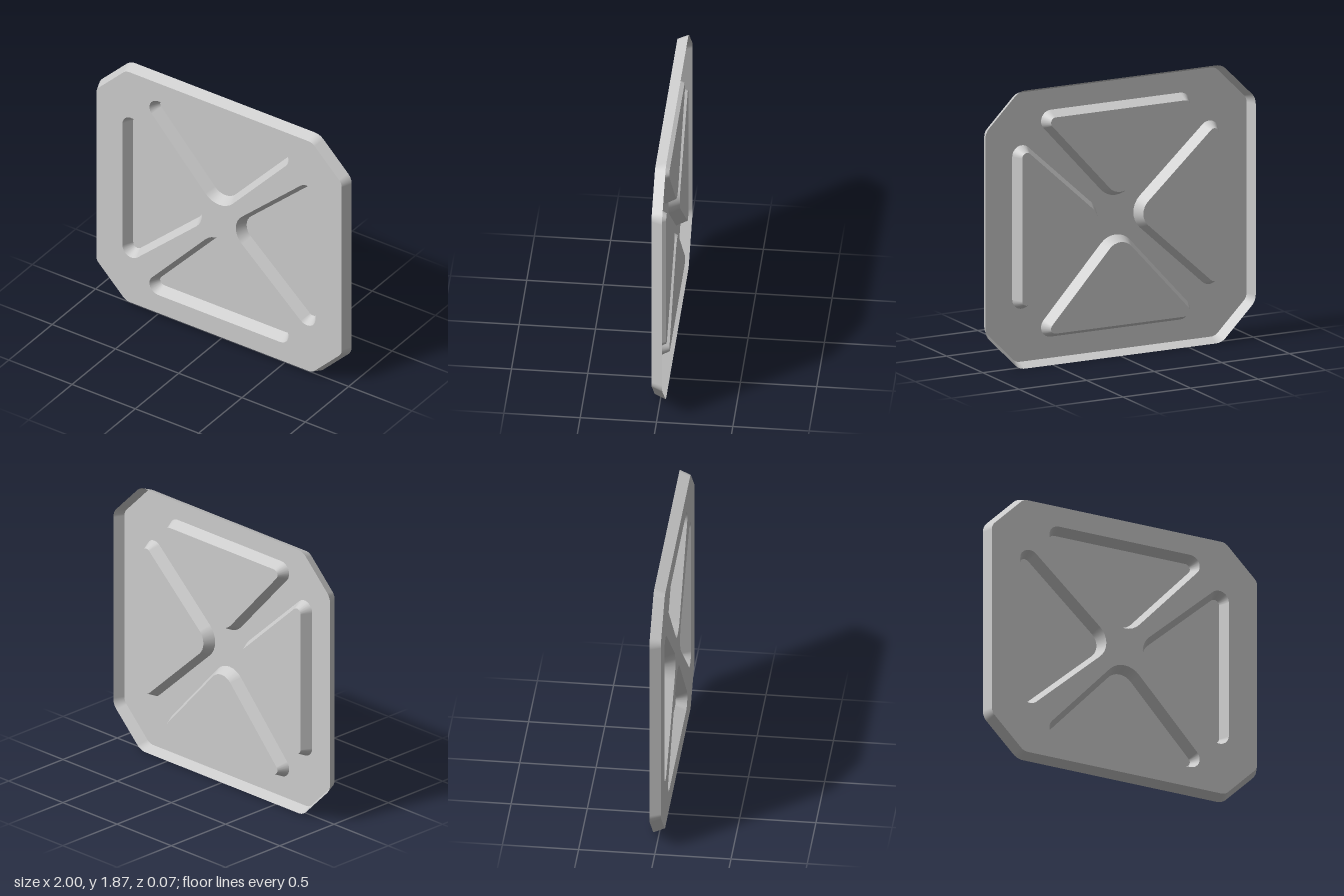
import * as THREE from 'three';

const HALF_DEPTH = 0.036;
const CENTRE_Y = 0.935;
const material = new THREE.MeshStandardMaterial({ color: 0xcccccc, side: THREE.DoubleSide });

// Counter-clockwise rounded polygon around corner circles [x, y, radius].
// Every point keeps its outward angle; inset shrinks all radii equally.
function roundedLoop(circles, inset = 0, steps = 8) {
  const count = circles.length;
  const edgeAngles = circles.map(([x, y, r], i) => {
    const [nx, ny, nr] = circles[(i + 1) % count];
    return Math.atan2(ny - y, nx - x) - Math.acos((r - nr) / Math.hypot(nx - x, ny - y));
  });
  const loop = [];
  circles.forEach(([x, y, r], i) => {
    const start = edgeAngles[(i + count - 1) % count];
    const turn = (edgeAngles[i] - start + 4 * Math.PI) % (2 * Math.PI);
    for (let s = 0; s <= steps; s++) {
      const angle = start + (turn * s) / steps;
      loop.push({
        x: x + (r - inset) * Math.cos(angle),
        y: y + (r - inset) * Math.sin(angle),
        angle,
      });
    }
  });
  return loop;
}

const toPoints = (loop) => loop.map((p) => new THREE.Vector2(p.x, p.y));

// Sloping wall from a front loop to a back loop; side is 1 facing out, -1 facing in.
function wallGeometry(front, back, slope, side) {
  const positions = [], normals = [], index = [];
  const n = front.length;
  const normal = new THREE.Vector3();
  for (let i = 0; i < n; i++) {
    const { angle } = front[i];
    positions.push(front[i].x, front[i].y, HALF_DEPTH, back[i].x, back[i].y, -HALF_DEPTH);
    normal.set(side * Math.cos(angle) * 2 * HALF_DEPTH, side * Math.sin(angle) * 2 * HALF_DEPTH, slope).normalize();
    for (let k = 0; k < 2; k++) normals.push(normal.x, normal.y, normal.z);
    const f = 2 * i, b = f + 1, f2 = 2 * ((i + 1) % n), b2 = f2 + 1;
    if (side > 0) index.push(f, b, b2, f, b2, f2);
    else index.push(f, b2, b, f, f2, b2);
  }
  const geometry = new THREE.BufferGeometry();
  geometry.setAttribute('position', new THREE.Float32BufferAttribute(positions, 3));
  geometry.setAttribute('normal', new THREE.Float32BufferAttribute(normals, 3));
  geometry.setIndex(index);
  return geometry;
}

function addPart(parent, name, geometry) {
  const mesh = new THREE.Mesh(geometry, material);
  mesh.name = name;
  parent.add(mesh);
  return mesh;
}

export function createModel() {
  const model = new THREE.Group();
  model.name = 'pressedPanel';
  const panel = new THREE.Group();
  panel.name = 'panel';
  panel.position.y = CENTRE_Y;
  model.add(panel);

  // Octagonal rim, flaring out towards the open back
  const rimSlope = 0.03;
  const corners = [
    [0.9, -0.642], [0.9, 0.642], [0.707, 0.835], [-0.707, 0.835],
    [-0.9, 0.642], [-0.9, -0.642], [-0.707, -0.835], [0.707, -0.835],
  ].map(([x, y]) => [x, y, 0.1]);
  const rimFront = roundedLoop(corners, rimSlope);
  addPart(panel, 'rim', wallGeometry(rimFront, roundedLoop(corners), rimSlope, 1));

  // Four triangular pockets pressed back from the face
  const face = new THREE.Shape(toPoints(rimFront));
  const pocketSlope = 0.036;
  const triangle = [[0.48, 0.693, 0.07], [-0.48, 0.693, 0.07], [0, 0.278, 0.145]];
  ['top', 'right', 'bottom', 'left'].forEach((label, k) => {
    const c = Math.round(Math.cos((k * Math.PI) / 2));
    const s = -Math.round(Math.sin((k * Math.PI) / 2));
    const circles = triangle.map(([x, y, r]) => [c * x - s * y, s * x + c * y, r]);
    const mouth = roundedLoop(circles);
    const base = roundedLoop(circles, pocketSlope);
    face.holes.push(new THREE.Path(toPoints(mouth)));

    const pocket = new THREE.Group();
    pocket.name = label + 'Pocket';
    addPart(pocket, label + 'PocketWall', wallGeometry(mouth, base, pocketSlope, -1));
    addPart(pocket, label + 'PocketFloor', new THREE.ShapeGeometry(new THREE.Shape(toPoints(base)))).position.z = -HALF_DEPTH;
    panel.add(pocket);
  });

  // Flat front face with the pocket openings
  addPart(panel, 'face', new THREE.ShapeGeometry(face)).position.z = HALF_DEPTH;

  return model;
}
